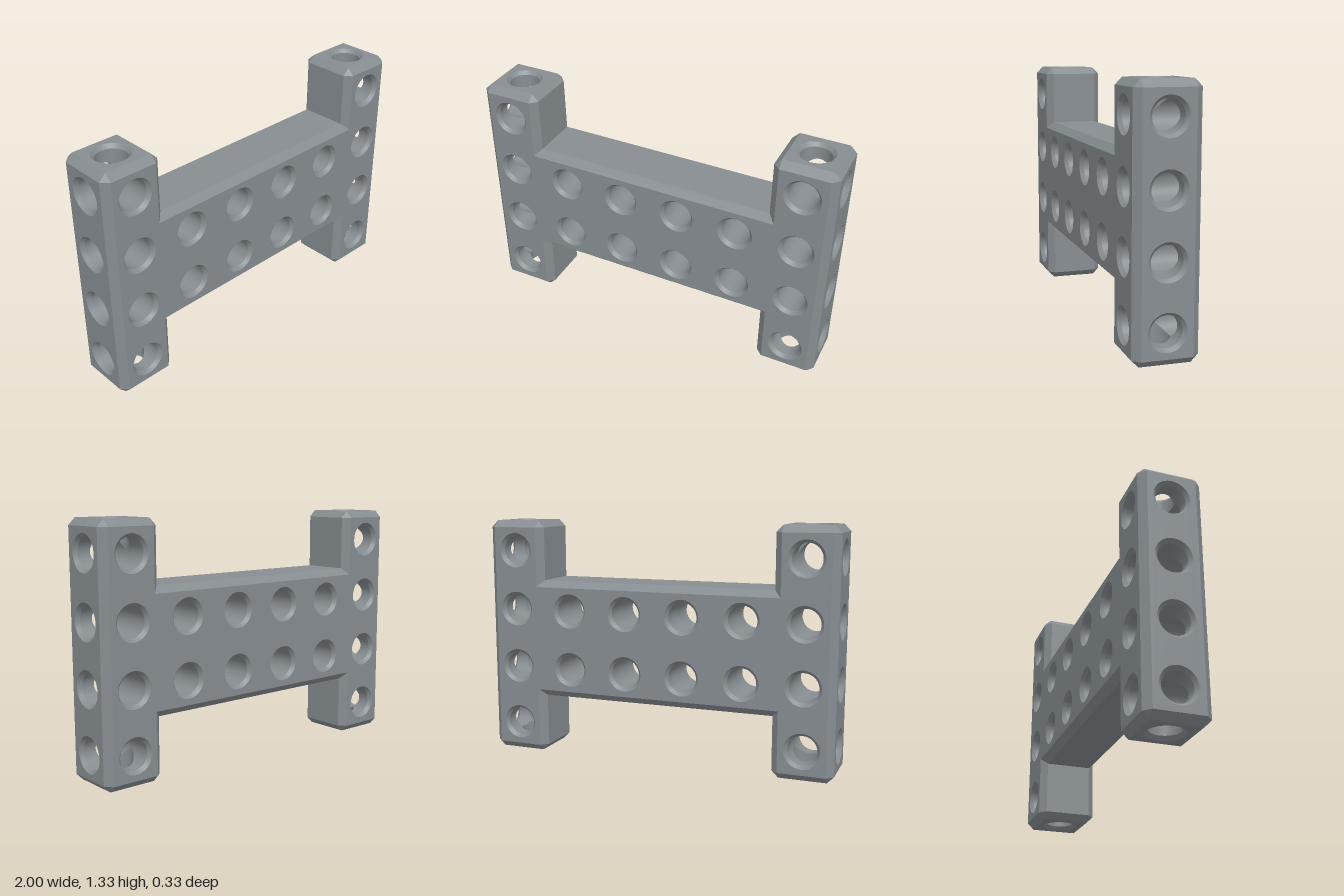
import * as THREE from 'three';
import { mergeGeometries, toCreasedNormals } from 'three/addons/utils/BufferGeometryUtils.js';

const CELL = 1 / 3, HALF = CELL / 2;  // one grid cell of the connector
const C = 0.037;                      // edge chamfer
const R = 0.08, RIM = 0.097;          // bore radius and countersink radius
const SINK = 0.02;                    // countersink depth
const SEG = 48;
const V = (x, y, z = 0) => new THREE.Vector3(x, y, z);

function fromTriangles(points) {
  const g = new THREE.BufferGeometry().setFromPoints(points);
  g.computeVertexNormals();
  return g;
}

// Flat panel with round openings
function panel(outline, holes) {
  const shape = new THREE.Shape(outline);
  for (const [x, y] of holes) {
    shape.holes.push(new THREE.Path().absarc(x, y, RIM, 0, Math.PI * 2, true));
  }
  const g = new THREE.ShapeGeometry(shape, SEG / 2).toNonIndexed();
  g.deleteAttribute('uv');
  return g;
}

// Half bore from a cell centre along d, trimmed where the other bores of the cell meet it
function bore(centre, d, others) {
  const u = Math.abs(d.y) > 0.5 ? V(1, 0, 0) : V(0, 1, 0);
  const w = d.clone().cross(u);
  const ring = (k) => {
    const a = (k / SEG) * Math.PI * 2;
    const radial = u.clone().multiplyScalar(Math.cos(a)).addScaledVector(w, Math.sin(a));
    const start = R * Math.max(0, ...others.map((e) => radial.dot(e)));
    return [[R, start], [R, HALF - SINK], [RIM, HALF]].map(([r, s]) =>
      centre.clone().addScaledVector(radial, r).addScaledVector(d, s));
  };
  const pts = [];
  for (let k = 0; k < SEG; k++) {
    const p = ring(k), q = ring((k + 1) % SEG);
    for (let j = 0; j < 2; j++) {
      pts.push(p[j], p[j + 1], q[j + 1], p[j], q[j + 1], q[j]);
    }
  }
  return toCreasedNormals(fromTriangles(pts), 0.3);
}

export function createModel() {
  const group = new THREE.Group();
  const material = new THREE.MeshStandardMaterial({ color: 0x868d91 });
  const add = (name, geometries) => {
    const mesh = new THREE.Mesh(mergeGeometries(geometries), material);
    mesh.name = name;
    group.add(mesh);
  };

  // Bores: every cell is drilled front to back, the posts also from outside and from their ends
  const bores = [], openings = [], frontHoles = [];
  for (let ix = 0; ix < 6; ix++) {
    for (let iy = 0; iy < 4; iy++) {
      const post = ix === 0 || ix === 5, end = iy === 0 || iy === 3;
      if (end && !post) continue;
      const centre = V((ix - 2.5) * CELL, (iy + 0.5) * CELL);
      const dirs = [V(0, 0, 1), V(0, 0, -1)];
      if (post) dirs.push(V(ix ? 1 : -1, 0));
      if (end) dirs.push(V(0, iy ? 1 : -1));
      for (const d of dirs) {
        bores.push(bore(centre, d, dirs.filter((e) => e.dot(d) === 0)));
        openings.push({ d, p: centre.clone().addScaledVector(d, HALF) });
      }
      frontHoles.push([centre.x, centre.y]);
    }
  }

  // Outline of the flat front face: two posts joined by a wide beam
  const xo = 1 - C, xi = 2 / 3 + C, top = 4 / 3 - C, b0 = 1 / 3 + C, b1 = 1 - C;
  const P = [
    [-xo, C], [-xi, C], [-xi, b0], [xi, b0], [xi, C], [xo, C],
    [xo, top], [xi, top], [xi, b1], [-xi, b1], [-xi, top], [-xo, top],
  ].map(([x, y]) => V(x, y));
  const n = P.length;
  const concave = (i) => [2, 3, 8, 9].includes(i);
  const normals = P.map((p, i) => {
    const t = P[(i + 1) % n].clone().sub(p).normalize();
    return V(t.y, -t.x);
  });

  // Front and back faces
  const front = panel(P.map((p) => new THREE.Vector2(p.x, p.y)), frontHoles).translate(0, 0, HALF);
  add('frontAndBackFaces', [front, front.clone().rotateY(Math.PI)]);

  // Side walls and chamfers, edge by edge
  const zi = HALF - C;
  const at = (p, z) => V(p.x, p.y, z);
  const walls = [], chamfers = [];
  const quad = (a, b, c, d) => chamfers.push(a, b, c, a, c, d);
  const outer = (i, edge, other) => {
    const p = P[i].clone().addScaledVector(normals[edge], C);
    return concave(i) ? p.addScaledVector(normals[other], C) : p;
  };
  for (let i = 0; i < n; i++) {
    const j = (i + 1) % n, h = (i + n - 1) % n;
    const A = outer(i, i, h), B = outer(j, i, j), N = normals[i];

    // wall with the openings that lie in its plane and within its length
    const t = B.clone().sub(A), len = t.length();
    t.normalize();
    const holes = openings
      .filter(({ d, p }) => d.dot(N) > 0.9 && Math.abs(p.clone().sub(A).dot(N)) < 0.01)
      .map(({ p }) => [p.clone().sub(A).dot(t), 0])
      .filter(([s]) => s > 0 && s < len);
    const rect = [[0, -zi], [len, -zi], [len, zi], [0, zi]].map(([x, y]) => new THREE.Vector2(x, y));
    const frame = new THREE.Matrix4().makeBasis(t, V(0, 0, 1), N).setPosition(A);
    walls.push(panel(rect, holes).applyMatrix4(frame));

    // chamfers to the front and back faces
    quad(at(A, zi), at(B, zi), at(P[j], HALF), at(P[i], HALF));
    quad(at(B, -zi), at(A, -zi), at(P[i], -HALF), at(P[j], -HALF));

    // chamfered corner between two walls, closed by a triangle at each end
    if (!concave(i)) {
      const D = outer(i, h, i);
      quad(at(D, -zi), at(A, -zi), at(A, zi), at(D, zi));
      chamfers.push(at(D, zi), at(A, zi), at(P[i], HALF));
      chamfers.push(at(A, -zi), at(D, -zi), at(P[i], -HALF));
    }
  }
  add('sideWalls', walls);
  add('chamferedEdges', [fromTriangles(chamfers)]);
  add('countersunkBores', bores);
  return group;
}
